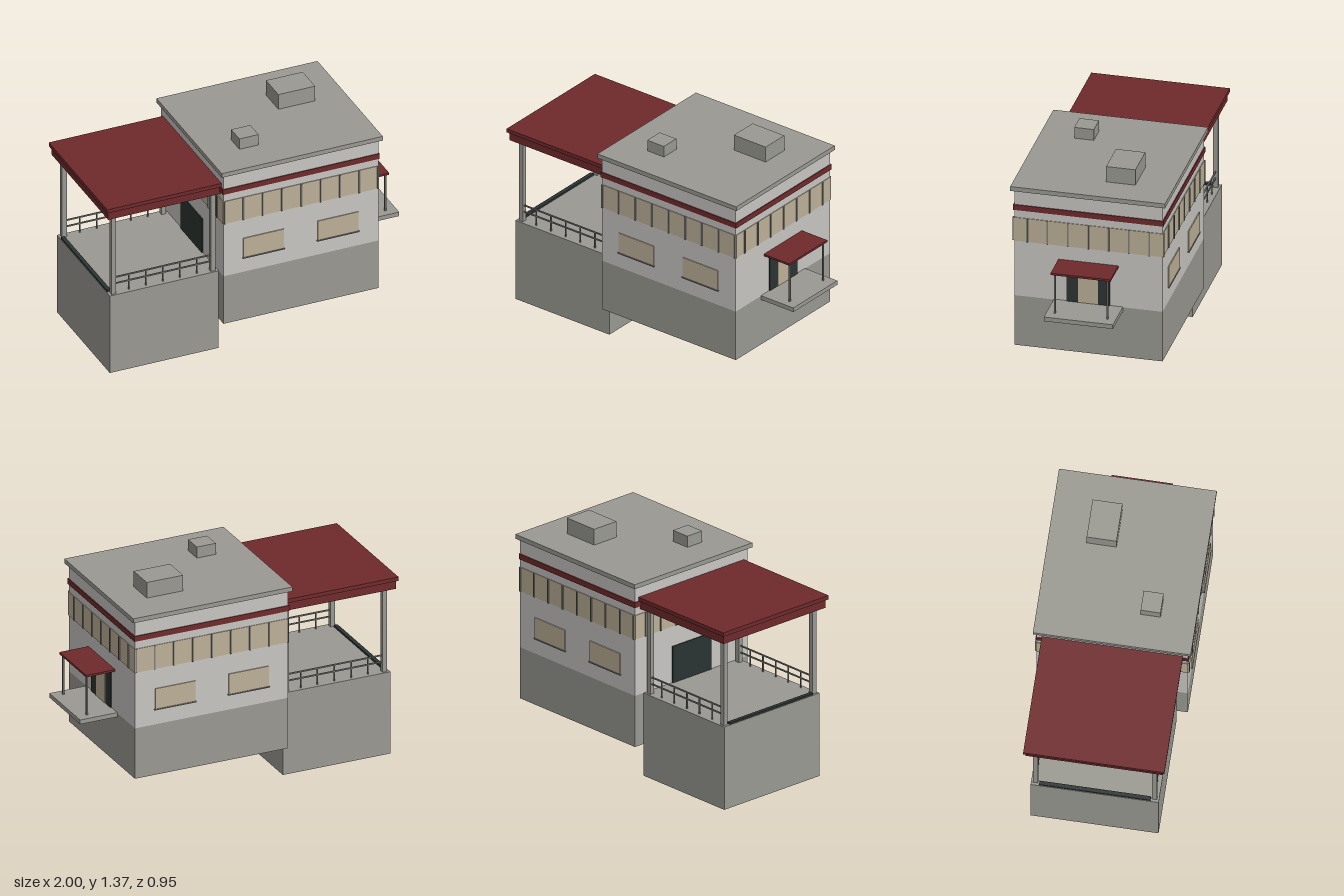
import * as THREE from 'three';

const mat = (name, color) => {
  const m = new THREE.MeshStandardMaterial({ color });
  m.name = name;
  return m;
};

export function createModel() {
  const concrete = mat('concrete', 0x9a9992);
  const plaster = mat('plaster', 0xc8c6c2);
  const red = mat('redMetal', 0x6f2a2c);
  const glass = mat('tanGlass', 0xbcb098);
  const dark = mat('darkMetal', 0x2b3433);
  const steel = mat('greySteel', 0x7e7e7a);

  const model = new THREE.Group();
  model.name = 'liftStation';

  const add = (parent, name, geometry, material) => {
    const mesh = new THREE.Mesh(geometry, material);
    mesh.name = name;
    parent.add(mesh);
    return mesh;
  };
  // Box given by its limits on each axis
  const box = (parent, name, material, [x0, x1], [y0, y1], [z0, z1]) => {
    const mesh = add(parent, name, new THREE.BoxGeometry(x1 - x0, y1 - y0, z1 - z0), material);
    mesh.position.set((x0 + x1) / 2, (y0 + y1) / 2, (z0 + z1) / 2);
    return mesh;
  };
  const group = (name) => {
    const g = new THREE.Group();
    g.name = name;
    model.add(g);
    return g;
  };
  const around = (c, w) => [c - w / 2, c + w / 2];

  // Main building
  const X0 = -0.255, X1 = 0.755, Z = 0.455, CX = 0.25, FLOOR = 0.535;
  const house = group('building');
  box(house, 'foundation', concrete, [X0, X1], [0.205, FLOOR], [-Z, Z]);
  box(house, 'walls', plaster, [X0, X1], [FLOOR, 1.236], [-Z, Z]);
  box(house, 'redBand', red, [X0 - 0.006, X1 + 0.006], [1.105, 1.14], [-Z - 0.006, Z + 0.006]);
  box(house, 'roofSlab', concrete, [X0 - 0.02, X1 + 0.02], [1.236, 1.265], [-0.475, 0.475]);
  box(house, 'smallRoofVent', concrete, [-0.065, 0.06], [1.265, 1.337], [0.142, 0.262]);
  box(house, 'largeRoofVent', concrete, [0.335, 0.575], [1.265, 1.367], [-0.243, -0.063]);

  // Window strip with mullions, and the smaller windows below it
  const windows = group('windows');
  const STRIP = [0.9, 1.055], STEP = 0.126, MULLION = 0.009;
  for (const s of [1, -1]) {
    const zFace = (d) => (s > 0 ? [Z, Z + d] : [-Z - d, -Z]);
    const xFace = (d) => (s > 0 ? [X1, X1 + d] : [X0 - d, X0]);
    box(windows, 'longStripGlass', glass, [X0, X1], STRIP, zFace(0.004));
    box(windows, 'sideStripGlass', glass, xFace(0.004), STRIP, [-Z, Z]);
    for (let i = -4; i <= 4; i++) {
      const inset = Math.abs(i) === 4 ? -Math.sign(i) * 0.004 : 0;
      box(windows, 'mullion', steel, around(CX + i * STEP + inset, MULLION), STRIP, zFace(0.01));
      if (Math.abs(i) < 4) box(windows, 'mullion', steel, xFace(0.01), STRIP, around(i * 0.125, MULLION));
    }
    for (const x of [0.005, 0.49]) {
      box(windows, 'lowerWindow', glass, around(x, 0.265), [0.638, 0.77], zFace(0.006));
      box(windows, 'windowSill', steel, around(x, 0.275), [0.631, 0.638], zFace(0.01));
    }
  }

  // Entrance with balcony and small canopy
  const entrance = group('entrance');
  box(entrance, 'balconySlab', concrete, [X1, 1.0], [0.51, 0.538], [-0.212, 0.212]);
  box(entrance, 'entranceDoor', dark, [X1, X1 + 0.007], [0.538, 0.77], [-0.132, 0.132]);
  box(entrance, 'doorGlass', glass, [X1, X1 + 0.011], [0.54, 0.757], [-0.062, 0.062]);
  box(entrance, 'entranceCanopy', red, [X1, 0.947], [0.795, 0.808], [-0.184, 0.184]);
  for (const z of [-0.161, 0.161]) {
    box(entrance, 'canopyPost', steel, around(0.932, 0.01), [0.538, 0.796], around(z, 0.01));
  }

  // Boarding platform with canopy
  const platform = group('platform');
  box(platform, 'platformBase', concrete, [-0.965, X0], [0, FLOOR], [-0.385, 0.385]);
  box(platform, 'platformDoor', dark, [X0 - 0.007, X0], [FLOOR, 0.77], [-0.155, 0.155]);
  box(platform, 'edgeStrip', dark, [-0.962, -0.937], [FLOOR, 0.547], [-0.335, 0.335]);
  box(platform, 'canopyTop', red, [-1, X0], [1.14, 1.165], [-0.425, 0.425]);
  box(platform, 'canopyFascia', red, [-0.988, X0], [1.086, 1.14], [-0.413, 0.413]);
  box(platform, 'ceiling', concrete, [-0.972, X0], [1.078, 1.087], [-0.397, 0.397]);

  // Columns and railings, the same on both sides
  for (const z of [-0.358, 0.358]) {
    for (const x of [-0.934, -0.286]) {
      box(platform, 'column', concrete, around(x, 0.03), [FLOOR, 1.08], around(z, 0.03));
    }
    for (const y of [0.598, 0.641]) {
      box(platform, 'rail', steel, [-0.92, -0.3], around(y, 0.008), around(z, 0.008));
    }
    for (let i = 0; i < 5; i++) {
      box(platform, 'railPost', steel, around(-0.829 + i * 0.111, 0.007), [FLOOR, 0.641], around(z, 0.007));
    }
  }

  // Horizontal cable wheel under the canopy
  const wheel = group('cableWheel');
  wheel.position.set(-0.61, 1.042, 0);
  const rim = add(wheel, 'wheelRim', new THREE.TorusGeometry(0.26, 0.013, 8, 20), dark);
  rim.rotation.x = Math.PI / 2;
  const hub = add(wheel, 'wheelHub', new THREE.CylinderGeometry(0.03, 0.03, 0.062, 12), dark);
  hub.position.y = 0.006;
  for (let i = 0; i < 2; i++) {
    const spoke = add(wheel, 'spoke', new THREE.BoxGeometry(0.52, 0.014, 0.018), dark);
    spoke.rotation.y = (i * Math.PI) / 2;
  }

  return model;
}
